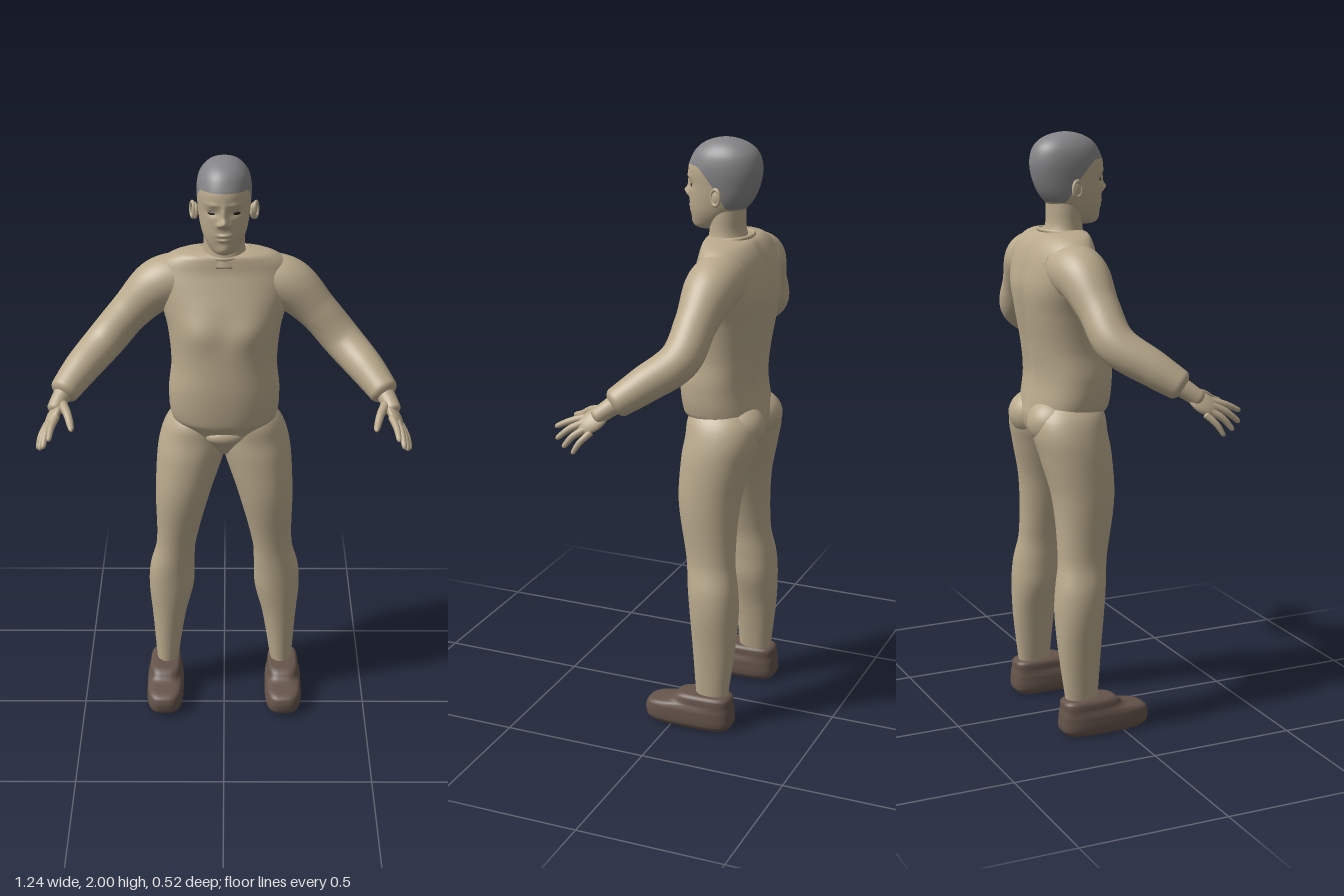
import * as THREE from 'three';

const mat = (name, color, side = THREE.FrontSide) => {
  const m = new THREE.MeshStandardMaterial({ color, side });
  m.name = name;
  return m;
};

// Smooth lookup in a table of rows [key, value, value, ...]
function sample(rows, t) {
  const n = rows.length - 1;
  let i = 0;
  while (i < n - 1 && t > rows[i + 1][0]) i++;
  const a = rows[i], b = rows[i + 1], h = b[0] - a[0];
  const k = THREE.MathUtils.clamp((t - a[0]) / h, 0, 1);
  const p = rows[Math.max(i - 1, 0)], q = rows[Math.min(i + 2, n)];
  return a.slice(1).map((_, j) => {
    const c = j + 1;
    const m0 = h * (b[c] - p[c]) / (b[0] - p[0]), m1 = h * (q[c] - a[c]) / (q[0] - a[0]);
    const k2 = k * k, k3 = k2 * k;
    return (2 * k3 - 3 * k2 + 1) * a[c] + (k3 - 2 * k2 + k) * m0 + (3 * k2 - 2 * k3) * b[c] + (k3 - k2) * m1;
  });
}

// Closed-around surface: fn(angle, v) gives a point, v runs 0..1
function surface(nu, nv, fn) {
  const pos = [], idx = [];
  for (let j = 0; j <= nv; j++)
    for (let i = 0; i < nu; i++) pos.push(...fn((i / nu) * Math.PI * 2, j / nv));
  for (let j = 0; j < nv; j++)
    for (let i = 0; i < nu; i++) {
      const k = (i + 1) % nu, a = j * nu + i, b = j * nu + k;
      idx.push(a, b, b + nu, a, b + nu, a + nu);
    }
  const g = new THREE.BufferGeometry();
  g.setAttribute('position', new THREE.Float32BufferAttribute(pos, 3));
  g.setIndex(idx);
  g.computeVertexNormals();
  return g;
}

// Point on a horizontal section; rows are [y, x0, x1, zBack, zFront]
function section(rows, y, a, e = 1, s = 1) {
  const [x0, x1, z0, z1] = sample(rows, y);
  const pw = (v) => Math.sign(v) * Math.abs(v) ** e;
  return [
    s * (x0 + x1) / 2 + pw(Math.sin(a)) * (x1 - x0) / 2, y,
    (z0 + z1) / 2 + pw(Math.cos(a)) * (z1 - z0) / 2,
  ];
}

// Capped vertical loft
function loft(rows, { nu = 48, nv = 60, e = 1, s = 1, shape = (p) => p } = {}) {
  const y0 = rows[0][0], y1 = rows[rows.length - 1][0];
  return surface(nu, nv + 2, (a, v) => {
    const j = Math.round(v * (nv + 2)) - 1;
    const y = y0 + (y1 - y0) * THREE.MathUtils.clamp(j / nv, 0, 1);
    if (j < 0 || j > nv) {
      const [x0, x1, z0, z1] = sample(rows, y);
      return [s * (x0 + x1) / 2, y, (z0 + z1) / 2];
    }
    return shape(section(rows, y, a, e, s));
  });
}

// Tapered round limb through points [x, y, z, radius] with a rounded end
function limb(points, s, cap, nu = 32, nv = 60) {
  const curve = new THREE.CatmullRomCurve3(points.map(([x, y, z]) => new THREE.Vector3(s * x, y, z)));
  const radii = points.map((p, i) => [i / (points.length - 1), p[3]]);
  return surface(nu, nv, (a, t) => {
    const c = curve.getPoint(t), T = curve.getTangent(t);
    const N = new THREE.Vector3().crossVectors(T, new THREE.Vector3(0, 1, 0)).normalize();
    const B = new THREE.Vector3().crossVectors(T, N);
    const k = Math.max(0, (t - 1 + cap) / cap);
    const r = t === 0 ? 0 : sample(radii, t)[0] * Math.sqrt(Math.max(0, 1 - k * k));
    return c.addScaledVector(N, r * Math.cos(a)).addScaledVector(B, r * Math.sin(a)).toArray();
  });
}

const sym = (rows) => rows.map(([y, w, b, f]) => [y, -w, w, b, f]);
const bump = (x, y, [cx, cy, sx, sy, amp]) => amp * Math.exp(-(((x - cx) / sx) ** 2) - ((y - cy) / sy) ** 2);

const TORSO = sym([
  [0.97, 0.03, -0.2, -0.04], [1.02, 0.1, -0.235, -0.005], [1.07, 0.15, -0.245, 0.02],
  [1.1, 0.178, -0.24, 0.035], [1.2, 0.187, -0.225, 0.045], [1.3, 0.178, -0.235, 0.043],
  [1.42, 0.19, -0.255, 0.034], [1.5, 0.212, -0.262, 0.014], [1.57, 0.228, -0.25, -0.012],
  [1.62, 0.22, -0.235, -0.03], [1.655, 0.19, -0.215, -0.036], [1.678, 0.14, -0.19, -0.042],
  [1.685, 0.08, -0.16, -0.06],
]);
const HEAD = sym([
  [1.697, 0.015, -0.05, 0], [1.705, 0.036, -0.08, 0.014], [1.725, 0.054, -0.11, 0.02],
  [1.76, 0.071, -0.15, 0.027], [1.8, 0.081, -0.185, 0.03], [1.85, 0.087, -0.207, 0.031],
  [1.9, 0.09, -0.215, 0.033], [1.94, 0.084, -0.208, 0.018], [1.965, 0.071, -0.192, 0],
  [1.985, 0.05, -0.162, -0.03], [1.996, 0.026, -0.125, -0.065], [2, 0, -0.095, -0.095],
]);
// Leg and shoe rows for the left side
const LEG = [
  [0.1, 0.17, 0.242, -0.186, -0.076], [0.3, 0.138, 0.257, -0.21, -0.06], [0.42, 0.109, 0.267, -0.215, -0.048],
  [0.5, 0.106, 0.262, -0.21, -0.04], [0.6, 0.1, 0.238, -0.195, -0.028], [0.8, 0.05, 0.238, -0.202, 0.008],
  [0.95, 0, 0.231, -0.235, 0.008], [1.02, -0.02, 0.219, -0.25, 0], [1.08, -0.01, 0.195, -0.24, -0.005],
  [1.12, 0.03, 0.16, -0.2, -0.03],
];
const SHOE = [
  [0, 0.163, 0.262, -0.195, 0.08], [0.018, 0.148, 0.276, -0.21, 0.1], [0.065, 0.149, 0.276, -0.21, 0.1],
  [0.08, 0.153, 0.272, -0.208, 0.075], [0.088, 0.156, 0.269, -0.206, 0.02],
  [0.115, 0.16, 0.264, -0.203, -0.012], [0.123, 0.17, 0.254, -0.19, -0.03],
];
const ARM = [
  [0.12, 1.575, -0.14, 0.09], [0.215, 1.553, -0.13, 0.088], [0.312, 1.465, -0.118, 0.069],
  [0.397, 1.367, -0.098, 0.066], [0.477, 1.297, -0.01, 0.059], [0.54, 1.235, 0.075, 0.047],
];
// Fingers from index to little, then the thumb
const FINGERS = [
  [[0.548, 1.195, 0.15, 0.012], [0.562, 1.178, 0.205, 0.011], [0.568, 1.153, 0.258, 0.008]],
  [[0.565, 1.185, 0.145, 0.012], [0.58, 1.158, 0.2, 0.011], [0.588, 1.12, 0.245, 0.008]],
  [[0.575, 1.17, 0.135, 0.012], [0.592, 1.14, 0.182, 0.011], [0.602, 1.1, 0.215, 0.008]],
  [[0.582, 1.16, 0.122, 0.011], [0.603, 1.125, 0.155, 0.01], [0.613, 1.087, 0.178, 0.007]],
  [[0.535, 1.22, 0.1, 0.017], [0.513, 1.205, 0.155, 0.014], [0.502, 1.185, 0.19, 0.012], [0.495, 1.175, 0.226, 0.008]],
];

// Facial relief: [x, y, width, height, depth]
const RELIEF = [
  [0, 1.815, 0.013, 0.014, 0.02], [0, 1.845, 0.009, 0.026, 0.011],
  [0, 1.772, 0.022, 0.006, 0.007], [0, 1.756, 0.018, 0.006, 0.006], [0, 1.722, 0.02, 0.014, 0.006],
];
for (const s of [1, -1]) RELIEF.push(
  [s * 0.016, 1.808, 0.008, 0.008, 0.008], [s * 0.038, 1.845, 0.02, 0.012, -0.008],
  [s * 0.038, 1.873, 0.024, 0.008, 0.004]);

function headPoint(a, y) {
  const p = section(HEAD, y, a, 0.95);
  if (Math.cos(a) > 0) for (const b of RELIEF) p[2] += bump(p[0], y, b);
  return p;
}
const hairline = (a) =>
  1.912 - 0.137 * THREE.MathUtils.smoothstep(Math.min(a, Math.PI * 2 - a), 0.9, 2.2);

export function createModel() {
  const skin = mat('skin', 0xb9a98c), hair = mat('hair', 0x848486);
  const shoeBrown = mat('shoe brown', 0x65544b), eyeDark = mat('eye dark', 0x2a2320);
  const model = new THREE.Group();
  const add = (name, geo, material, parent = model) => {
    const m = new THREE.Mesh(geo, material);
    m.name = name;
    parent.add(m);
    return m;
  };
  const ball = (name, material, at, size) => {
    const m = add(name, new THREE.SphereGeometry(1, 32, 20), material);
    m.position.set(...at);
    m.scale.set(...size);
    return m;
  };

  // Torso with chest relief and a groove down the spine
  add('torso', loft(TORSO, { nu: 96, nv: 90, e: 0.9, shape: ([x, y, z]) => {
    if (z > -0.1) z += bump(Math.abs(x), y, [0.085, 1.43, 0.06, 0.06, 0.012]);
    else z += bump(x, y, [0, 1.4, 0.025, 0.25, 0.018]);
    return [x, y, z];
  } }), skin);
  ball('hemTab', skin, [0, 1.05, -0.005], [0.062, 0.03, 0.03]);
  const collar = add('collar', new THREE.TorusGeometry(0.085, 0.007, 10, 48), skin);
  collar.rotation.x = Math.PI / 2 + 0.1;
  collar.position.set(0, 1.677, -0.112);
  collar.scale.y = 0.85;

  // Neck and head, split along the hairline
  add('neck', loft(sym([[1.64, 0.088, -0.19, -0.03], [1.69, 0.07, -0.162, -0.04],
    [1.75, 0.068, -0.158, -0.04], [1.8, 0.066, -0.16, -0.04]]), { nv: 20 }), skin);
  add('face', surface(128, 90, (a, v) => headPoint(a, 1.697 + (hairline(a) - 1.697) * v)), skin);
  add('hairCap', surface(96, 40, (a, v) => {
    const h = hairline(a);
    return headPoint(a, h + (2 - h) * Math.sin(v * Math.PI / 2));
  }), hair);

  for (const s of [1, -1]) {
    const side = s > 0 ? 'left' : 'right';
    // Eyes and ears
    const eyeZ = headPoint(Math.asin(0.44), 1.843)[2];
    ball(side + 'Eye', eyeDark, [s * 0.039, 1.843, eyeZ], [0.015, 0.0055, 0.004]).rotation.y = s * 0.4;
    ball(side + 'Ear', skin, [s * 0.095, 1.82, -0.093], [0.01, 0.028, 0.02]).rotation.set(-0.15, -s * 0.35, 0);
    const rim = add(side + 'EarRim', new THREE.TorusGeometry(0.022, 0.006, 8, 28), skin);
    rim.position.set(s * 0.103, 1.822, -0.097);
    rim.rotation.set(0, s * (Math.PI / 2 - 0.35), 0);
    rim.scale.set(0.8, 1.15, 1);

    // Legs, seat and shoes
    add(side + 'Leg', loft(LEG, { s, nv: 70, e: 0.95 }), skin);
    ball(side + 'Buttock', skin, [s * 0.08, 1.055, -0.175], [0.085, 0.08, 0.089]);
    add(side + 'Shoe', loft(SHOE, { s, nv: 30, e: 0.6 }), shoeBrown);

    // Arm and hand
    add(side + 'Arm', limb(ARM, s, 0.04, 40, 100), skin);
    const hand = new THREE.Group();
    hand.name = side + 'Hand';
    model.add(hand);
    add('wrist', limb([[0.52, 1.255, 0.045, 0.034], [0.545, 1.222, 0.09, 0.029], [0.56, 1.195, 0.125, 0.028]], s, 0.2, 24, 20), skin, hand);
    const along = new THREE.Vector3(s * 0.035, -0.055, 0.08).normalize();
    const across = new THREE.Vector3(s * 0.035, -0.04, -0.04);
    across.addScaledVector(along, -across.dot(along)).normalize();
    const thick = new THREE.Vector3().crossVectors(along, across);
    const palm = add('palm', new THREE.SphereGeometry(1, 28, 18), skin, hand);
    palm.geometry.scale(0.055, 0.037, 0.017);
    palm.geometry.applyMatrix4(new THREE.Matrix4().makeBasis(along, across, thick));
    palm.position.set(s * 0.561, 1.188, 0.128);
    FINGERS.forEach((f, i) => add(i < 4 ? 'finger' + (i + 1) : 'thumb', limb(f, s, 0.12, 14, 24), skin, hand));
  }
  return model;
}
